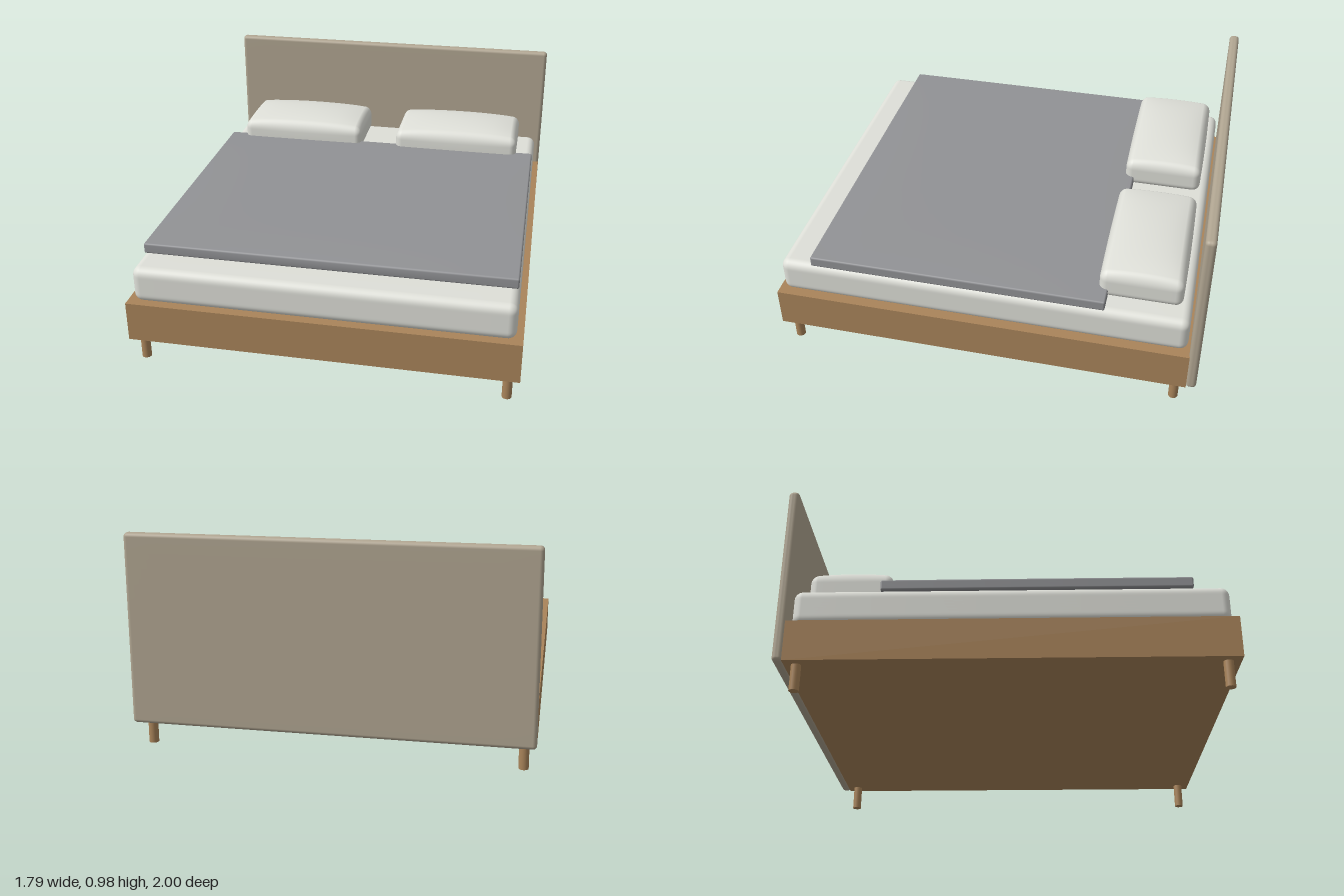
import * as THREE from 'three';
import { mergeVertices } from 'three/addons/utils/BufferGeometryUtils.js';

const makeMaterial = (name, color) => {
  const m = new THREE.MeshStandardMaterial({ color });
  m.name = name;
  return m;
};

// Smooth rounded box; bulge = [x, y, z] swells the faces, domeTop limits y swelling to the top
function cushionGeometry(w, h, d, r, bulge = [0, 0, 0]) {
  const n = 20, k = 4;
  const geo = new THREE.BoxGeometry(2, 2, 2, n, n, n);
  geo.deleteAttribute('uv');
  geo.deleteAttribute('normal');
  const half = [w / 2, h / 2, d / 2];
  // Crowd the grid lines into the rounded edges
  const remap = (t, s) => {
    const a = Math.abs(t), edge = 1 - (2 * k) / n;
    const v = a <= edge ? (a / edge) * (s - r) : s - r + r * Math.tan(((a - edge) / (1 - edge)) * Math.PI / 4);
    return Math.sign(t) * v;
  };
  const pos = geo.attributes.position;
  const p = new THREE.Vector3(), inner = new THREE.Vector3();
  for (let i = 0; i < pos.count; i++) {
    p.fromBufferAttribute(pos, i);
    p.set(...p.toArray().map((t, a) => remap(t, half[a])));
    inner.set(...p.toArray().map((v, a) => THREE.MathUtils.clamp(v, r - half[a], half[a] - r)));
    p.sub(inner).normalize().multiplyScalar(r).add(inner);
    const u = p.toArray().map((v, a) => v / half[a]);
    const c = u.map((v) => Math.max(0, 1 - v * v));
    p.x += bulge[0] * u[0] * c[1] * c[2];
    p.y += bulge[1] * Math.max(0, u[1]) * Math.sqrt(c[0] * c[2]);
    p.z += bulge[2] * u[2] * c[0] * c[1];
    pos.setXYZ(i, p.x, p.y, p.z);
  }
  const merged = mergeVertices(geo, 1e-5);
  merged.computeVertexNormals();
  return merged;
}

export function createModel() {
  const bed = new THREE.Group();
  bed.name = 'bed';
  const wood = makeMaterial('oak wood', 0xa9845a);
  const fabric = makeMaterial('beige upholstery', 0xb0a591);
  const linen = makeMaterial('white linen', 0xdedfd8);
  const grey = makeMaterial('grey blanket', 0x919295);

  const add = (name, geo, mat, x, y, z) => {
    const mesh = new THREE.Mesh(geo, mat);
    mesh.name = name;
    mesh.position.set(x, y, z);
    bed.add(mesh);
  };

  // Wooden base and upholstered headboard
  add('base', new THREE.BoxGeometry(1.784, 0.19, 1.955), wood, 0, 0.215, 0.0225);
  add('headboard', cushionGeometry(1.786, 0.86, 0.048, 0.018), fabric, 0, 0.55, -0.976);

  // Mattress and blanket
  add('mattress', cushionGeometry(1.724, 0.172, 1.918, 0.04), linen, 0, 0.394, 0.019);
  add('blanket', cushionGeometry(1.71, 0.05, 1.382, 0.008, [0, 0.008, 0.003]), grey, 0, 0.503, 0.132);

  // Domed pillows and legs, mirrored left and right
  const pillow = cushionGeometry(0.668, 0.13, 0.378, 0.035, [0, 0.042, 0.004]);
  const leg = new THREE.CylinderGeometry(0.022, 0.022, 0.13, 20);
  for (const s of [1, -1]) {
    const side = s > 0 ? 'left' : 'right';
    add(side + 'Pillow', pillow, linen, s * 0.433, 0.544, -0.706);
    add(side + 'FrontLeg', leg, wood, s * 0.838, 0.065, 0.943);
    add(side + 'BackLeg', leg, wood, s * 0.838, 0.065, -0.902);
  }
  return bed;
}
